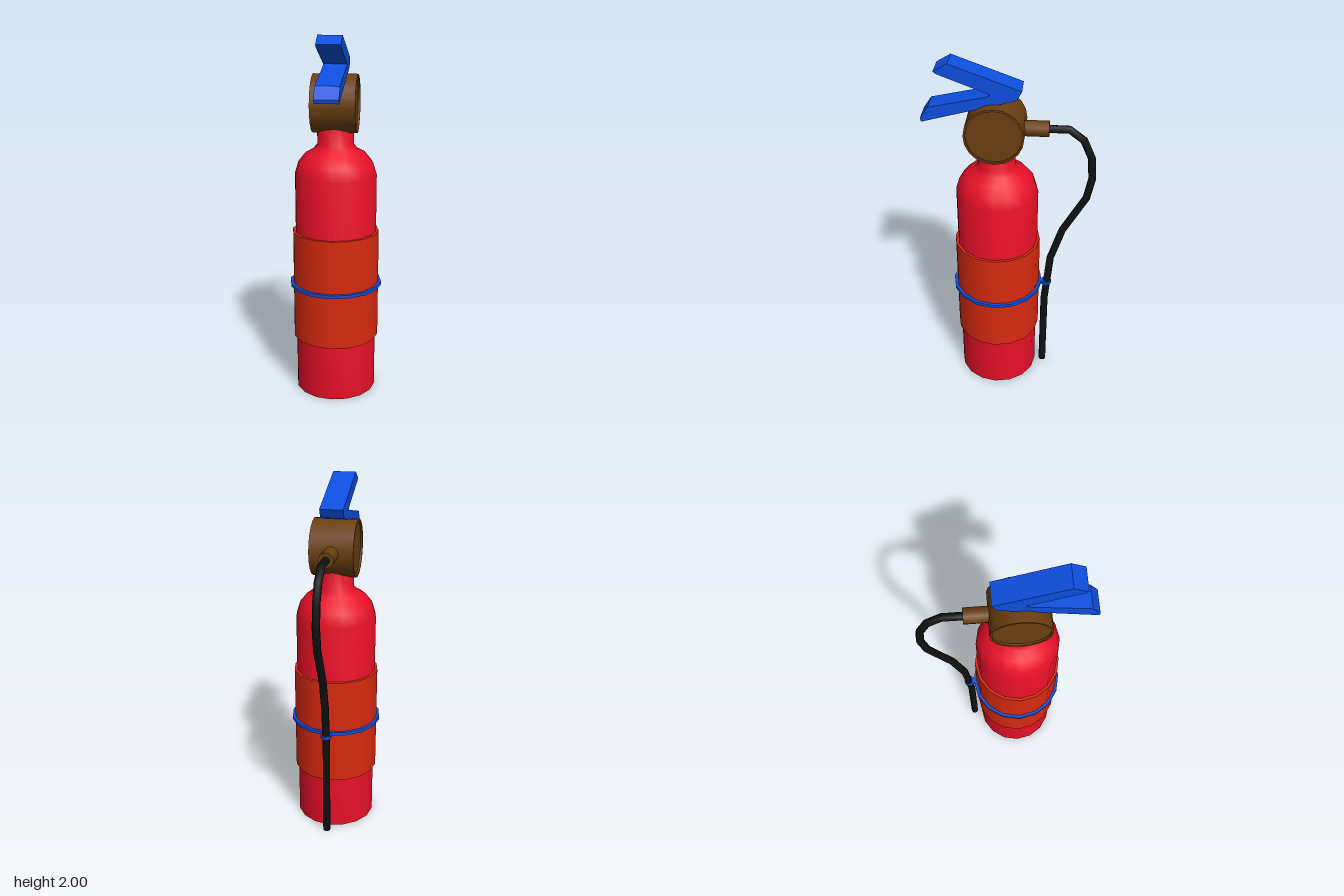
import * as THREE from 'three';
import { toCreasedNormals } from 'three/addons/utils/BufferGeometryUtils.js';

const BODY_Z = 0.075;
const HOSE_R = 0.021;
const VALVE_Y = 1.633;
const paint = (color) => new THREE.MeshStandardMaterial({ color });
const red = paint(0xe81028), orange = paint(0xd92a0f), blue = paint(0x0d4fe0);
const brown = paint(0x6b3f10), black = paint(0x111111);

const vectors = (list) => list.map(([x, y]) => new THREE.Vector2(x, y));
const lathe = (profile, sides) =>
  toCreasedNormals(new THREE.LatheGeometry(vectors(profile), sides), 0.8);

// Straight-segment path through points given as [z, y] in the middle plane
class Polyline extends THREE.Curve {
  constructor(points) {
    super();
    this.points = points.map(([z, y]) => new THREE.Vector3(0, y, z));
  }
  getPoint(t, target = new THREE.Vector3()) {
    const last = this.points.length - 1;
    const i = Math.min(Math.floor(t * last + 1e-9), last - 1);
    return target.lerpVectors(this.points[i], this.points[i + 1], t * last - i);
  }
  getPointAt(t, target) { return this.getPoint(t, target); }
  getTangentAt(t, target) { return this.getTangent(t, target); }
}

export function createModel() {
  const model = new THREE.Group();
  const add = (name, geometry, material, x = 0, y = 0, z = 0) => {
    const mesh = new THREE.Mesh(geometry, material);
    mesh.name = name;
    mesh.position.set(x, y, z);
    model.add(mesh);
    return mesh;
  };

  // Tank with rounded shoulder and neck
  add('tank', lathe([
    [0, 0], [0.225, 0], [0.225, 1.25], [0.205, 1.315], [0.165, 1.365],
    [0.12, 1.39], [0.1, 1.415], [0.1, 1.55], [0, 1.55],
  ], 16), red, 0, 0, BODY_Z);

  // Wrap-around label sleeve and the strap over it
  add('sleeve', new THREE.CylinderGeometry(0.24, 0.24, 0.616, 16), orange, 0, 0.624, BODY_Z);
  add('strap', new THREE.CylinderGeometry(0.257, 0.257, 0.018, 16), blue, 0, 0.626, BODY_Z);
  add('hoseClip', new THREE.CylinderGeometry(0.031, 0.031, 0.018, 10), blue, 0, 0.626, -0.207);

  // Valve drum lying across the neck, with shallow recessed ends
  add('valve', lathe([
    [0, -0.108], [0.146, -0.108], [0.146, -0.12], [0.157, -0.12],
    [0.157, 0.12], [0.146, 0.12], [0.146, 0.108], [0, 0.108],
  ], 20), brown, 0, VALVE_Y, 0.079).rotation.z = Math.PI / 2;

  // Outlet at the back of the valve
  add('outlet', new THREE.CylinderGeometry(0.042, 0.042, 0.16, 12).rotateX(Math.PI / 2),
    brown, 0, VALVE_Y, -0.12);

  // Hose from the outlet down to the ground, with closed ends
  const path = [
    [-0.19, VALVE_Y], [-0.305, VALVE_Y], [-0.382, 1.573], [-0.427, 1.47], [-0.437, 1.345],
    [-0.412, 1.22], [-0.29, 1], [-0.228, 0.8], [-0.2, 0.5], [-0.198, 0],
  ];
  add('hose', new THREE.TubeGeometry(new Polyline(path), path.length - 1, HOSE_R, 10), black);
  add('hoseTip', new THREE.CylinderGeometry(HOSE_R, HOSE_R, 0.02, 10), black, 0, 0.01, -0.198);

  // Squeeze handle: a forward-opening V of lever and grip, drawn as [z, y]
  const handle = new THREE.Shape(vectors([
    [0.307, 2], [0.38, 1.957], [0.367, 1.945], [0.098, 1.842], [0.116, 1.83],
    [0.418, 1.762], [0.46, 1.7], [0.455, 1.68], [-0.035, 1.815], [-0.061, 1.865],
  ]));
  add('handle', new THREE.ExtrudeGeometry(handle, { depth: 0.126, bevelEnabled: false })
    .translate(0, 0, -0.063).rotateY(-Math.PI / 2), blue);

  return model;
}
